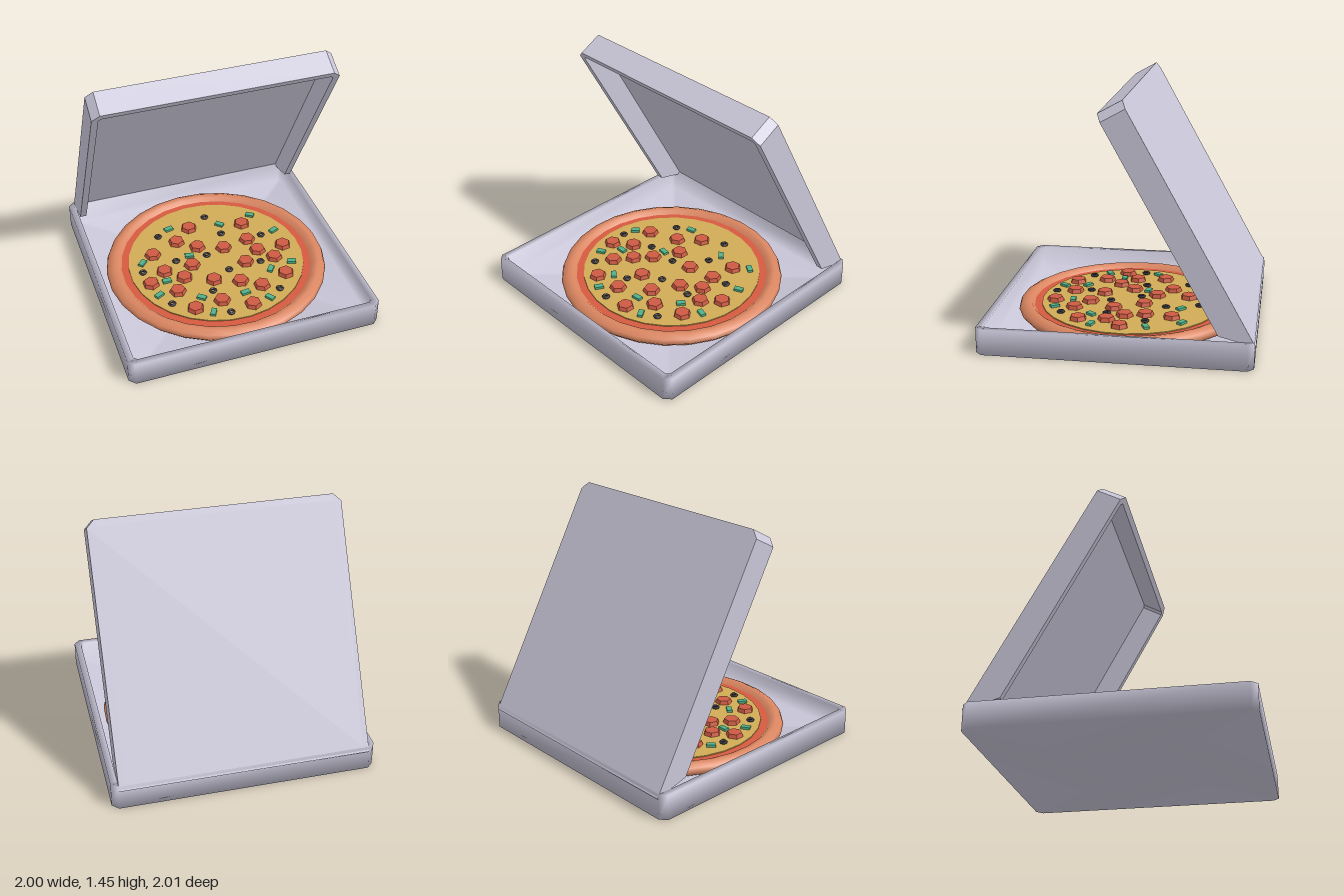
import * as THREE from 'three';

const mat = (name, color, side = THREE.FrontSide) => {
  const m = new THREE.MeshStandardMaterial({ color, side });
  m.name = name;
  return m;
};

// Rings of a square with cut corners, joined smoothly: [half size, corner cut, height]
function cutSquareShell(rings) {
  const pos = [], index = [];
  for (const [h, c, y] of rings) {
    const k = h - c;
    for (const [x, z] of [[h, -k], [h, k], [k, h], [-k, h], [-h, k], [-h, -k], [-k, -h], [k, -h]]) pos.push(x, y, z);
  }
  for (let j = 0; j < rings.length - 1; j++) {
    for (let i = 0; i < 8; i++) {
      const a = j * 8 + i, b = j * 8 + (i + 1) % 8;
      index.push(a, a + 8, b, b, a + 8, b + 8);
    }
  }
  const g = new THREE.BufferGeometry();
  g.setAttribute('position', new THREE.Float32BufferAttribute(pos, 3));
  g.setIndex(index);
  g.computeVertexNormals();
  return g;
}

const polygon = (pts) => new THREE.Shape(pts.map(([x, y]) => new THREE.Vector2(x, y)));
const extrude = (shape, depth) => new THREE.ExtrudeGeometry(shape, { depth, bevelEnabled: false });

export function createModel() {
  const model = new THREE.Group();
  const card = mat('cardboard', 0xc9c6d8);
  const crustMat = mat('crust', 0xd98560);
  const sauceMat = mat('sauce', 0xd65a40);
  const cheeseMat = mat('cheese', 0xcfab55);
  const pepperoniMat = mat('pepperoni', 0xcc5a42);
  const oliveMat = mat('olive', 0x35323a);
  const pepperMat = mat('greenPepper', 0x50b088);

  const add = (parent, name, geometry, material, x = 0, y = 0, z = 0) => {
    const m = new THREE.Mesh(geometry, material);
    m.name = name;
    m.position.set(x, y, z);
    parent.add(m);
    return m;
  };

  // Box, turned on its vertical axis
  const box = new THREE.Group();
  box.name = 'box';
  box.rotation.y = 0.385;
  model.add(box);
  add(box, 'tray', cutSquareShell([
    [0, 0, 0], [0.779, 0.037, 0], [0.779, 0.037, 0.15],
    [0.738, 0.02, 0.15], [0.732, 0.02, 0.02], [0, 0, 0.02],
  ]), card);

  // Lid, hinged at the back and leaning forward; y runs along it, z is its depth
  const lid = new THREE.Group();
  lid.name = 'lid';
  lid.position.set(0, 0.125, -0.785);
  lid.rotation.x = 0.506;
  box.add(lid);
  const W = 0.738, L = 1.515, C = 0.045, T = 0.04, D = 0.155;
  add(lid, 'lidPanel', extrude(polygon([
    [-W, 0], [W, 0], [W, L - C], [W - C, L], [C - W, L], [-W, L - C],
  ]), 0.018), card);
  const w = W - T, l = L - T, c = 0.015;
  const rim = extrude(polygon([
    [-W, 0], [-w, 0], [-w, l - c], [c - w, l], [w - c, l], [w, l - c], [w, 0],
    [W, 0], [W, L - C], [W - C, L], [C - W, L], [-W, L - C],
  ]), D);
  // Slant the hinge ends of the side walls
  const p = rim.attributes.position;
  for (let i = 0; i < p.count; i++) if (p.getY(i) < 0.001) p.setY(i, p.getZ(i) * 0.94);
  rim.computeVertexNormals();
  add(lid, 'lidRim', rim, card);

  // Pizza
  const pizza = new THREE.Group();
  pizza.name = 'pizza';
  model.add(pizza);
  const profile = [[0.02, 0.022], [0.63, 0.022], [0.675, 0.035], [0.695, 0.06], [0.685, 0.085],
    [0.65, 0.103], [0.62, 0.098], [0.595, 0.072]];
  add(pizza, 'crust', new THREE.LatheGeometry(profile.map(([r, y]) => new THREE.Vector2(r, y)), 28), crustMat);
  add(pizza, 'sauce', new THREE.CylinderGeometry(0.606, 0.606, 0.04, 28), sauceMat, 0, 0.058, 0);
  add(pizza, 'cheese', new THREE.CylinderGeometry(0.556, 0.556, 0.04, 28), cheeseMat, 0, 0.064, 0);
  const top = 0.084;

  // Toppings: [x, z]
  const slice = new THREE.CylinderGeometry(0.045, 0.054, 0.025, 6).toNonIndexed();
  slice.computeVertexNormals();
  [[0, 0.2], [0.165, 0.2], [0.3, 0.23], [0.445, 0.11], [0.06, 0.38], [0.25, 0.4], [-0.095, 0.46],
    [-0.215, 0.315], [-0.385, 0.26], [-0.185, 0.19], [0.19, 0.02], [0.37, -0.04], [-0.195, -0.29],
    [-0.404, -0.01], [-0.263, -0.145], [0.149, -0.356], [0.043, -0.108], [-0.125, -0.106],
    [-0.314, 0.143], [-0.146, 0.07], [0.262, -0.1], [0.422, -0.16], [0.19, -0.2],
  ].forEach(([x, z], i) => {
    add(pizza, 'pepperoni', slice, pepperoniMat, x, top + 0.012, z).rotation.y = i * 0.7;
  });

  const ring = new THREE.TorusGeometry(0.017, 0.008, 6, 10).rotateX(Math.PI / 2);
  [[0.09, 0.1], [0.285, 0.01], [0.41, 0.255], [0, 0.3], [0.12, 0.48], [-0.24, 0.43], [-0.388, -0.19],
    [-0.1, -0.41], [-0.448, 0.16], [-0.25, 0.04], [-0.06, -0.03], [0.02, -0.247], [0.28, -0.25],
  ].forEach(([x, z]) => add(pizza, 'oliveRing', ring, oliveMat, x, top + 0.006, z));

  // Pepper pieces: [x, z, turn]
  const piece = new THREE.BoxGeometry(0.055, 0.016, 0.033);
  [[0.48, 0, 0.1], [0.35, 0.08, 1.3], [0.2, 0.305, 0.5], [0.35, 0.34, -0.6], [-0.065, 0.365, -0.3],
    [0.015, 0.49, 1.45], [-0.325, 0.36, 0.9], [-0.29, 0.23, 0.4], [-0.326, -0.27, 0.6], [0.004, -0.34, -0.4],
    [0.36, -0.3, 0.8], [-0.46, 0.075, 1.2], [-0.17, -0.015, 0.2], [0.2, -0.45, -0.2],
  ].forEach(([x, z, turn]) => {
    add(pizza, 'pepperPiece', piece, pepperMat, x, top + 0.007, z).rotation.y = turn;
  });

  return model;
}
